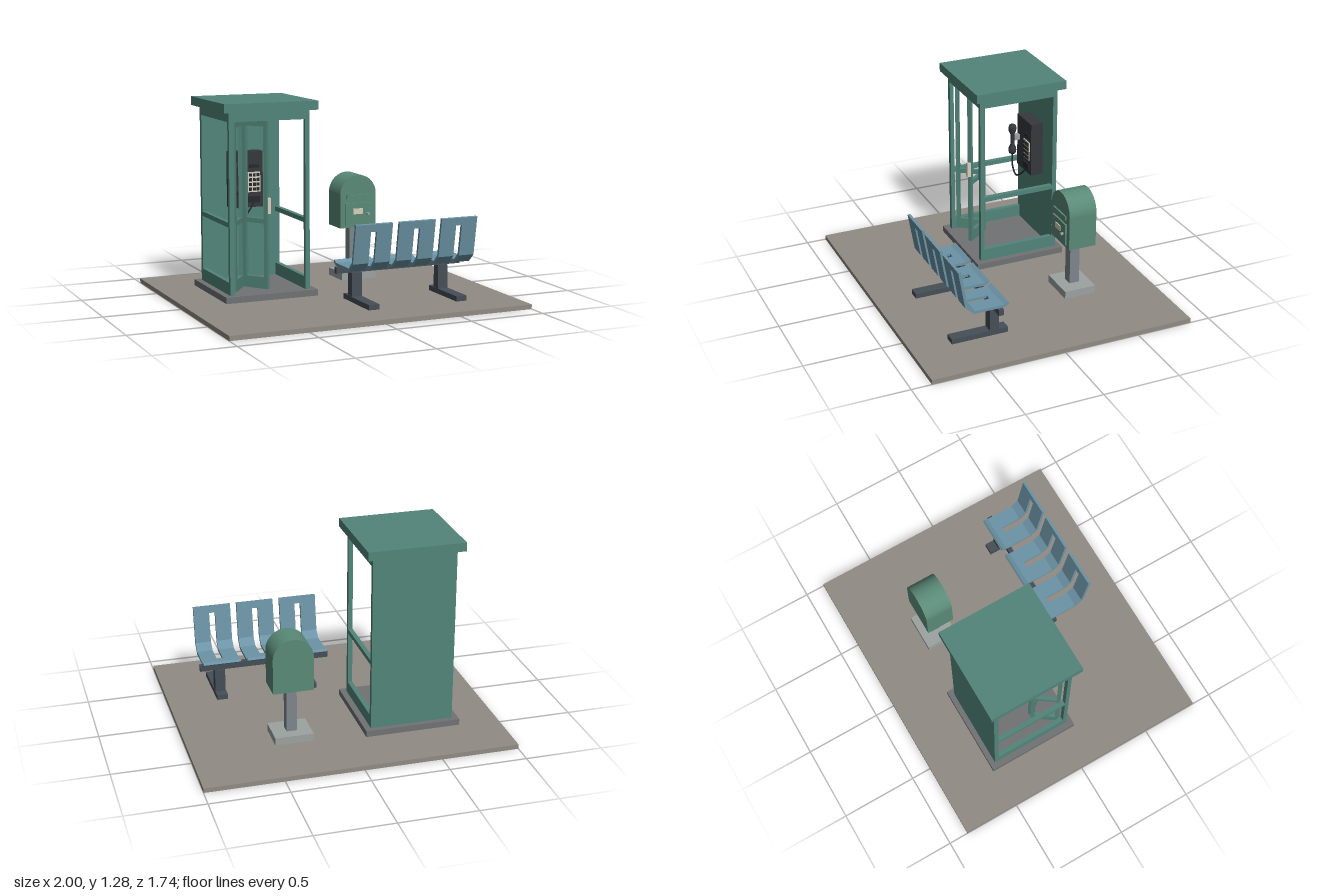
import * as THREE from 'three';

const mat = (color) => new THREE.MeshStandardMaterial({ color });
const M = {
  ground: mat(0x918b84), green: mat(0x52857a), plinth: mat(0x707274), box: mat(0x5a8a78),
  dark: mat(0x36383d), darker: mat(0x26282c), cream: mat(0xd6cfbd), metal: mat(0x9aa0a3),
  post: mat(0x7d868c), foot: mat(0x9ba3a1), steel: mat(0x464e57), seat: mat(0x6c94a6),
};

function add(parent, name, geometry, material) {
  const mesh = new THREE.Mesh(geometry, material);
  mesh.name = name;
  parent.add(mesh);
  return mesh;
}

// Box given by its minimum and maximum on each axis
function block(parent, name, material, x0, x1, y0, y1, z0, z1) {
  const mesh = add(parent, name, new THREE.BoxGeometry(x1 - x0, y1 - y0, z1 - z0), material);
  mesh.position.set((x0 + x1) / 2, (y0 + y1) / 2, (z0 + z1) / 2);
  return mesh;
}

function group(parent, name) {
  const g = new THREE.Group();
  g.name = name;
  parent.add(g);
  return g;
}

// One framed door leaf between two points on the floor plan
function doorLeaf(parent, name, ax, az, bx, bz) {
  const leaf = group(parent, name);
  const half = Math.hypot(bx - ax, bz - az) / 2, t = 0.0125;
  for (const s of [-1, 1]) {
    const c = s * (half - 0.0125);
    block(leaf, 'doorStile', M.green, c - 0.0125, c + 0.0125, 0.085, 1.155, -t, t);
  }
  for (const [y0, y1] of [[0.085, 0.16], [0.505, 0.535], [1.12, 1.155]])
    block(leaf, 'doorRail', M.green, -half + 0.025, half - 0.025, y0, y1, -t, t);
  leaf.position.set((ax + bx) / 2, 0, (az + bz) / 2);
  leaf.rotation.y = -Math.atan2(bz - az, bx - ax);
}

function buildBooth(root) {
  const booth = group(root, 'booth');
  block(booth, 'boothPlinth', M.plinth, -0.735, -0.115, 0.03, 0.07, -0.52, 0.1);
  block(booth, 'roof', M.green, -0.738, -0.112, 1.22, 1.277, -0.525, 0.1);
  block(booth, 'backWall', M.green, -0.695, -0.155, 0.07, 1.22, -0.485, -0.455);
  block(booth, 'frontLintel', M.green, -0.665, -0.185, 1.16, 1.22, 0.03, 0.06);
  for (const x of [-0.695, -0.185]) {
    block(booth, 'frontPost', M.green, x, x + 0.03, 0.07, 1.22, 0.033, 0.06);
    for (const [y0, y1] of [[0.07, 0.15], [0.5, 0.53], [1.16, 1.22]])
      block(booth, 'sideRail', M.green, x, x + 0.03, y0, y1, -0.455, 0.033);
  }
  // Folding door, half open
  doorLeaf(booth, 'hingedDoorLeaf', -0.655, 0.025, -0.547, -0.125);
  doorLeaf(booth, 'foldingDoorLeaf', -0.533, -0.125, -0.425, 0.025);
  block(booth, 'doorHandle', M.cream, -0.432, -0.412, 0.57, 0.67, 0.02, 0.045);
}

function buildPhone(root) {
  const phone = group(root, 'payPhone');
  block(phone, 'phoneBody', M.dark, -0.525, -0.305, 0.55, 0.917, -0.455, -0.37);
  block(phone, 'keypadPlate', M.cream, -0.412, -0.325, 0.65, 0.782, -0.37, -0.364);
  for (let i = 0; i < 3; i++)
    for (let j = 0; j < 4; j++) {
      const x = -0.394 + i * 0.026, y = 0.67 + j * 0.031;
      block(phone, 'key', M.darker, x - 0.009, x + 0.009, y - 0.01, y + 0.01, -0.364, -0.358);
    }
  block(phone, 'coinSlot', M.darker, -0.4, -0.335, 0.81, 0.83, -0.37, -0.364);
  block(phone, 'coinReturn', M.darker, -0.405, -0.33, 0.582, 0.622, -0.37, -0.36);
  block(phone, 'cradle', M.metal, -0.512, -0.478, 0.745, 0.78, -0.37, -0.33);
  // Handset with a wide earpiece and mouthpiece
  const profile = [[0, 0.645], [0.022, 0.65], [0.027, 0.67], [0.025, 0.69], [0.013, 0.715],
    [0.013, 0.785], [0.025, 0.81], [0.027, 0.835], [0.022, 0.853], [0, 0.858]];
  add(phone, 'handset', new THREE.LatheGeometry(profile.map((p) => new THREE.Vector2(...p)), 16), M.dark)
    .position.set(-0.495, 0, -0.32);
  const cord = new THREE.CatmullRomCurve3([[-0.495, 0.65, -0.32], [-0.492, 0.56, -0.32],
    [-0.455, 0.5, -0.33], [-0.41, 0.53, -0.35], [-0.365, 0.59, -0.37]].map((p) => new THREE.Vector3(...p)));
  add(phone, 'cord', new THREE.TubeGeometry(cord, 32, 0.006, 8), M.darker);
}

function buildMailbox(root) {
  const box = group(root, 'mailbox');
  block(box, 'mailboxFoot', M.foot, 0.215, 0.463, 0.03, 0.08, -0.474, -0.26);
  block(box, 'mailboxPost', M.post, 0.305, 0.372, 0.08, 0.385, -0.402, -0.335);
  // Arched body
  const arch = new THREE.Shape();
  arch.moveTo(-0.13, 0.38);
  arch.lineTo(0.13, 0.38);
  arch.lineTo(0.13, 0.603);
  arch.absarc(0, 0.603, 0.13, 0, Math.PI, false);
  arch.closePath();
  add(box, 'mailboxBody', new THREE.ExtrudeGeometry(arch, { depth: 0.187, bevelEnabled: false, curveSegments: 24 }), M.box)
    .position.set(0.34, 0, -0.463);
  block(box, 'slotHood', M.box, 0.255, 0.425, 0.572, 0.6, -0.277, -0.265);
  block(box, 'collectionDoor', M.box, 0.247, 0.433, 0.4, 0.545, -0.277, -0.264);
  block(box, 'label', M.cream, 0.297, 0.367, 0.472, 0.51, -0.264, -0.26);
  const knob = add(box, 'doorKnob', new THREE.CylinderGeometry(0.01, 0.01, 0.02, 12), M.metal);
  knob.rotation.x = Math.PI / 2;
  knob.position.set(0.404, 0.472, -0.255);
}

// Sheet of even thickness following a (z, y) path, centred on x = 0
function bentSheet(points, width, thickness) {
  const p = points.map((q) => new THREE.Vector2(...q));
  const normal = (a, b) => new THREE.Vector2(a.y - b.y, b.x - a.x).normalize();
  const miter = p.map((q, i) => {
    const n0 = i > 0 ? normal(p[i - 1], q) : normal(q, p[1]);
    const n1 = i < p.length - 1 ? normal(q, p[i + 1]) : n0;
    const m = n0.clone().add(n1).normalize();
    return m.multiplyScalar(thickness / 2 / m.dot(n0));
  });
  const upper = p.map((q, i) => q.clone().add(miter[i]));
  const lower = p.map((q, i) => q.clone().sub(miter[i])).reverse();
  const g = new THREE.ExtrudeGeometry(new THREE.Shape([...upper, ...lower]), { depth: width, bevelEnabled: false });
  return g.translate(0, 0, -width / 2).rotateY(-Math.PI / 2);
}

function buildBench(root) {
  const bench = group(root, 'bench');
  block(bench, 'beam', M.steel, -0.095, 0.775, 0.215, 0.255, 0.31, 0.342);
  for (const x of [0.037, 0.645]) {
    block(bench, 'benchLeg', M.steel, x - 0.034, x + 0.034, 0.06, 0.215, 0.3, 0.36);
    block(bench, 'benchFoot', M.steel, x - 0.036, x + 0.036, 0.03, 0.063, 0.238, 0.612);
  }
  // Bent seats, each with a slot down the middle
  const path = [[0.588, 0.56], [0.546, 0.315], [0.495, 0.267], [0.3, 0.267], [0.27, 0.285]];
  const side = bentSheet(path, 0.105, 0.018);
  const top = bentSheet([path[0], [0.58, 0.512]], 0.04, 0.018);
  const front = bentSheet([[0.352, 0.267], path[3], path[4]], 0.04, 0.018);
  for (const x of [0.045, 0.34, 0.633]) {
    const seat = group(bench, 'seat');
    seat.position.x = x;
    for (const s of [-1, 1]) add(seat, 'seatSide', side, M.seat).position.x = s * 0.0725;
    add(seat, 'seatBackBridge', top, M.seat);
    add(seat, 'seatFrontBridge', front, M.seat);
  }
}

export function createModel() {
  const root = new THREE.Group();
  root.name = 'streetCorner';
  block(root, 'pavement', M.ground, -1, 1, 0, 0.03, -0.87, 0.87);
  buildBooth(root);
  buildPhone(root);
  buildMailbox(root);
  buildBench(root);
  return root;
}
